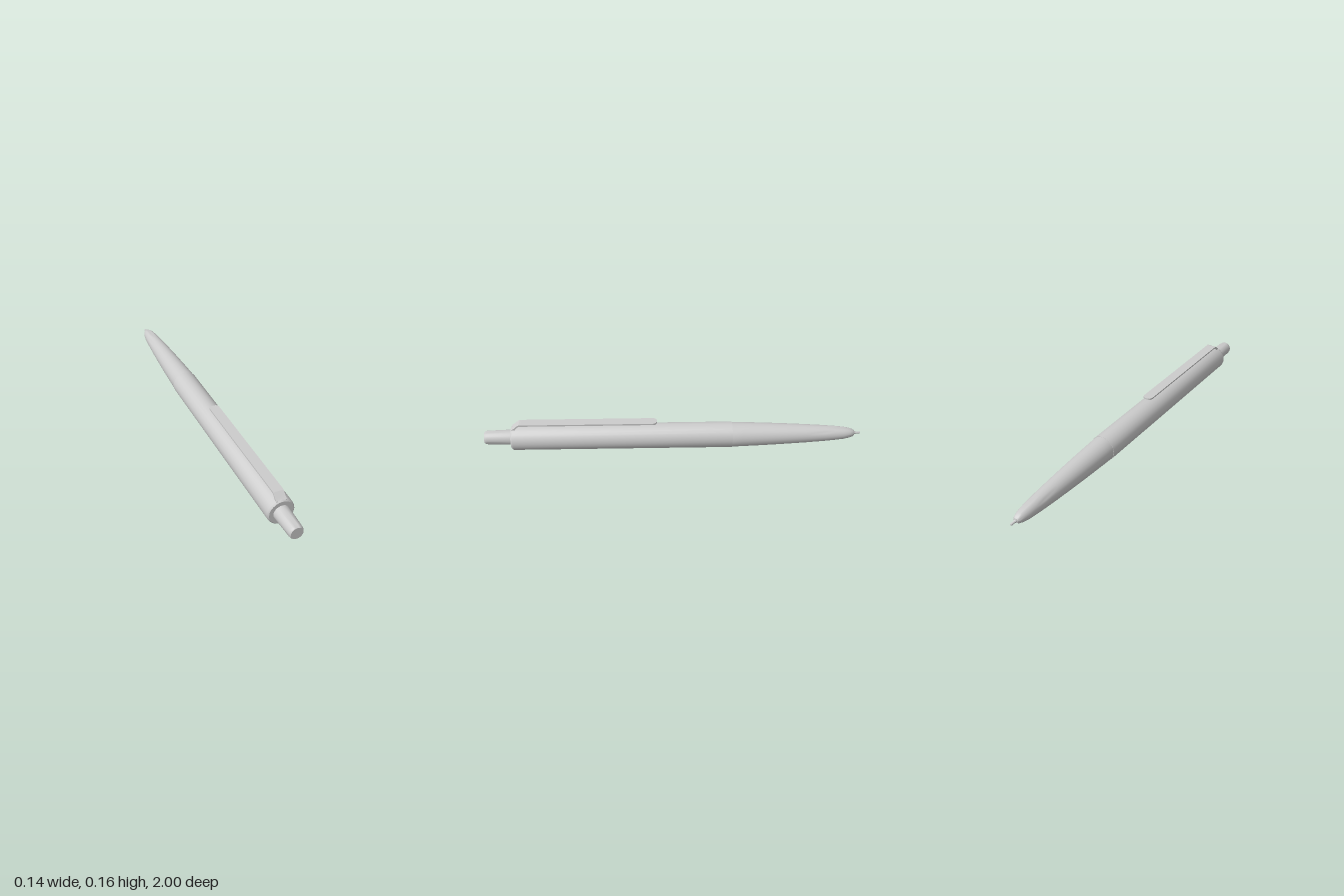
import * as THREE from 'three';
import { toCreasedNormals } from 'three/addons/utils/BufferGeometryUtils.js';

const AXIS_Y = 0.0685;
const CLIP_W = 0.052;

export function createModel() {
  const pen = new THREE.Group();
  pen.name = 'pen';
  const material = new THREE.MeshStandardMaterial({ color: 0xcccccc });

  const add = (name, geometry) => {
    const mesh = new THREE.Mesh(toCreasedNormals(geometry, 0.7), material);
    mesh.name = name;
    pen.add(mesh);
    return mesh;
  };

  // Turned part along z; profile is [radius, z] from the tip to the button end
  const turned = (name, profile, sides) => {
    const points = profile.map(([r, z]) => new THREE.Vector2(r, z));
    const geometry = new THREE.LatheGeometry(points, sides);
    geometry.rotateX(Math.PI / 2);
    geometry.translate(0, AXIS_Y, 0);
    return add(name, geometry);
  };

  // Writing tip
  turned('writingTip', [
    [0, -1], [0.004, -0.998], [0.006, -0.993], [0.006, -0.975], [0.008, -0.972], [0.008, -0.955],
  ], 16);

  // Tapered front section
  turned('taperedGrip', [
    [0, -0.966], [0.012, -0.966], [0.02, -0.957], [0.027, -0.937], [0.033, -0.907],
    [0.038, -0.86], [0.043, -0.8], [0.049, -0.71], [0.055, -0.6], [0.061, -0.47],
    [0.065, -0.36], [0.067, -0.3],
  ], 24);

  // Straight barrel with a softened rear edge
  turned('barrel', [
    [0.067, -0.31], [0.0685, -0.31], [0.0685, 0.845], [0.0665, 0.852],
    [0.062, 0.856], [0.041, 0.856], [0.041, 0.84],
  ], 24);

  // Push button, slightly tapered with a rounded cap
  turned('pushButton', [
    [0.041, 0.84], [0.0405, 0.87], [0.0365, 0.985], [0.0345, 0.995], [0.031, 1], [0, 1],
  ], 24);

  // Clip arm: flat strip with a rounded free end
  const h = CLIP_W / 2, r = 0.024, thick = 0.008, top = 0.162;
  const arm = new THREE.Shape();
  arm.moveTo(-h, -0.805);
  arm.lineTo(h, -0.805);
  arm.lineTo(h, -0.088 - r);
  arm.quadraticCurveTo(h, -0.088, h - r, -0.088);
  arm.lineTo(-h + r, -0.088);
  arm.quadraticCurveTo(-h, -0.088, -h, -0.088 - r);
  arm.closePath();
  const armGeometry = new THREE.ExtrudeGeometry(arm, {
    depth: thick, bevelEnabled: false, curveSegments: 8,
  });
  armGeometry.rotateX(-Math.PI / 2);
  armGeometry.translate(0, top - thick, 0);
  add('clipArm', armGeometry);

  // Clip bend: side profile in (-z, y) running down into the barrel
  const bend = new THREE.Shape();
  bend.moveTo(-0.8, top);
  bend.lineTo(-0.805, top);
  bend.quadraticCurveTo(-0.814, top, -0.82, top - 0.006);
  bend.lineTo(-0.837, 0.141);
  bend.lineTo(-0.85, 0.134);
  bend.lineTo(-0.85, 0.125);
  bend.lineTo(-0.832, 0.125);
  bend.lineTo(-0.829, 0.137);
  bend.lineTo(-0.813, top - thick - 0.002);
  bend.lineTo(-0.8, top - thick);
  bend.closePath();
  const bendGeometry = new THREE.ExtrudeGeometry(bend, {
    depth: CLIP_W, bevelEnabled: false, curveSegments: 6,
  });
  bendGeometry.translate(0, 0, -h);
  bendGeometry.rotateY(Math.PI / 2);
  add('clipBend', bendGeometry);

  return pen;
}
